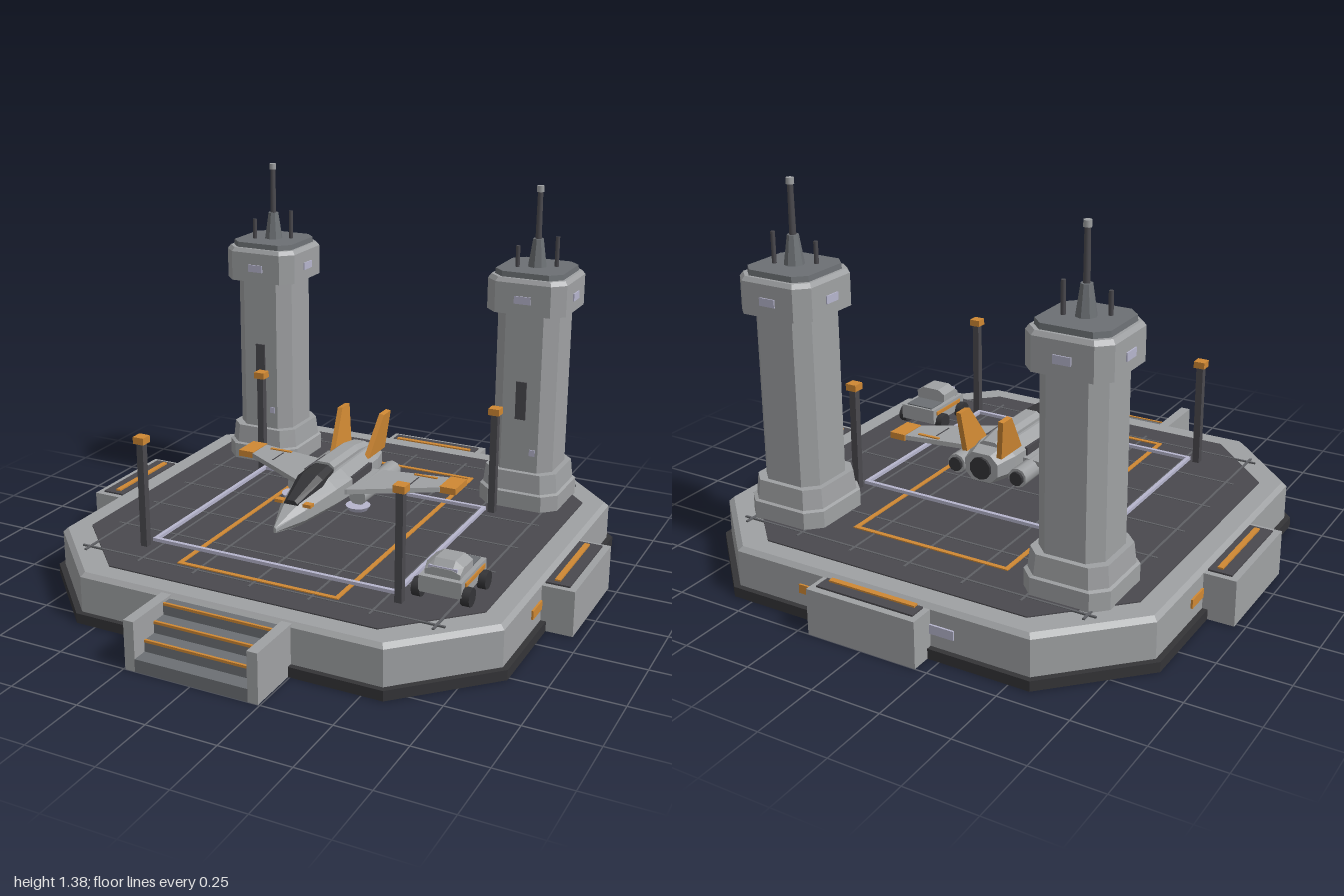
import * as THREE from 'three';

const mat = (name, color) => Object.assign(new THREE.MeshStandardMaterial({ color }), { name });

export function createModel() {
  const light = mat('light grey', 0x9fa1a3), mid = mat('mid grey', 0x6c7074);
  const dark = mat('deck grey', 0x4a494e), black = mat('near black', 0x343437);
  const orange = mat('orange', 0xcf8833), lilac = mat('pale lilac', 0xb6b5cd);
  const line = mat('line grey', 0x5f6165);
  const root = new THREE.Group();
  root.name = 'landingPad';

  const add = (parent, name, geo, m, x = 0, y = 0, z = 0) => {
    const mesh = new THREE.Mesh(geo, m);
    mesh.name = name;
    mesh.position.set(x, y, z);
    parent.add(mesh);
    return mesh;
  };
  const group = (name, x = 0, y = 0, z = 0) => {
    const g = new THREE.Group();
    g.name = name;
    g.position.set(x, y, z);
    root.add(g);
    return g;
  };
  // box given by its limits on each axis
  const box = (parent, name, m, x0, x1, y0, y1, z0, z1) =>
    add(parent, name, new THREE.BoxGeometry(x1 - x0, y1 - y0, z1 - z0), m, (x0 + x1) / 2, (y0 + y1) / 2, (z0 + z1) / 2);
  // closed faceted skin through rings of points
  const loft = (rings) => {
    const p = [], n = rings[0].length;
    const tri = (...v) => v.forEach((q) => p.push(...q));
    for (let r = 0; r < rings.length - 1; r++) for (let i = 0; i < n; i++) {
      const j = (i + 1) % n, a = rings[r], b = rings[r + 1];
      tri(a[i], a[j], b[j]);
      tri(a[i], b[j], b[i]);
    }
    const s = rings[0], e = rings[rings.length - 1];
    for (let i = 1; i < n - 1; i++) {
      tri(s[0], s[i + 1], s[i]);
      tri(e[0], e[i], e[i + 1]);
    }
    const g = new THREE.BufferGeometry();
    g.setAttribute('position', new THREE.Float32BufferAttribute(p, 3));
    g.computeVertexNormals();
    return g;
  };
  // rectangle with cut corners
  const oct = (a, b, ca, cb) => [[a, cb - b], [a, b - cb], [a - ca, b], [ca - a, b], [-a, b - cb], [-a, cb - b], [ca - a, -b], [a - ca, -b]];
  // upright stack of [y, half width, corner cut]
  const stack = (levels) => loft(levels.map(([y, h, c]) => oct(h, h, c, c).map(([u, v]) => [u, y, -v])));
  // hull along z of [z, half width, bottom, top]
  const hull = (secs) => loft(secs.map(([z, w, y0, y1]) =>
    oct(w, (y1 - y0) / 2, w * 0.45, (y1 - y0) * 0.28).map(([u, v]) => [u, (y0 + y1) / 2 + v, z])));
  // flat outline of [x, z] points, extruded upward
  const plan = (pts, depth) => new THREE.ExtrudeGeometry(
    new THREE.Shape(pts.map(([x, z]) => new THREE.Vector2(x, -z))), { depth, bevelEnabled: false }).rotateX(-Math.PI / 2);
  // rectangular outline made of four bars
  const frame = (parent, name, m, hx, z0, z1, w, y0, y1) => {
    for (const s of [-1, 1]) box(parent, name, m, s * hx - w / 2, s * hx + w / 2, y0, y1, z0, z1);
    for (const z of [z0, z1]) box(parent, name, m, -hx - w / 2, hx + w / 2, y0, y1, z - w / 2, z + w / 2);
  };

  // platform
  const base = group('platform', 0, 0, -0.06);
  add(base, 'footing', stack([[0, 0.87, 0.295], [0.036, 0.87, 0.295]]), black);
  add(base, 'platformBody', stack([[0.036, 0.85, 0.285], [0.165, 0.85, 0.285], [0.18, 0.835, 0.28]]), light);
  add(base, 'deck', stack([[0.178, 0.765, 0.26], [0.184, 0.765, 0.26]]), dark);
  for (let i = -3; i <= 3; i++) {
    box(base, 'deckSeam', line, i * 0.22 - 0.004, i * 0.22 + 0.004, 0.18, 0.1855, -0.69, 0.69);
    box(base, 'deckSeam', line, -0.69, 0.69, 0.18, 0.1855, i * 0.22 - 0.004, i * 0.22 + 0.004);
  }
  // service boxes and marker plates on three sides
  for (let k = 0; k < 3; k++) {
    const side = new THREE.Group();
    side.name = 'sideBay';
    side.rotation.y = k * Math.PI / 2;
    base.add(side);
    const out = k === 1 ? 0.94 : 0.965;
    box(side, 'bayBox', light, 0.84, out, 0, 0.165, -0.207, 0.207);
    box(side, 'bayTop', dark, 0.855, out - 0.025, 0.16, 0.171, -0.185, 0.185);
    box(side, 'bayLamp', orange, out - 0.085, out - 0.065, 0.165, 0.177, -0.165, 0.165);
    box(side, 'orangeMarker', orange, 0.849, 0.857, 0.083, 0.115, 0.215, 0.305);
    box(side, 'lilacMarker', lilac, 0.849, 0.857, 0.083, 0.115, -0.295, -0.205);
  }

  // front steps
  const steps = group('steps');
  for (let i = 0; i < 4; i++) {
    const y = 0.165 - i * 0.04, z = 0.83 + i * 0.0567;
    box(steps, 'step', mid, -0.207, 0.207, 0, y, 0.77, z);
    if (i < 3) box(steps, 'stepEdge', orange, -0.205, 0.205, y - 0.006, y + 0.003, z - 0.007, z + 0.002);
  }
  for (const s of [-1, 1]) add(steps, 'stepWall', new THREE.BoxGeometry(0.038, 0.175, 0.22), light, s * 0.225, 0.0875, 0.89);

  // deck markings, rails and lamp posts
  const marks = group('markings');
  frame(marks, 'orangeOutline', orange, 0.3, -0.598, 0.578, 0.016, 0.18, 0.188);
  frame(marks, 'guideRail', lilac, 0.466, -0.306, 0.478, 0.014, 0.195, 0.207);
  for (const x of [-0.49, 0.49]) for (const z of [-0.33, 0.505]) {
    box(marks, 'lampPost', dark, x - 0.013, x + 0.013, 0.18, 0.57, z - 0.013, z + 0.013);
    box(marks, 'lampHead', orange, x - 0.021, x + 0.021, 0.567, 0.592, z - 0.021, z + 0.021);
  }

  // two towers
  for (const x of [-0.55, 0.55]) {
    const t = group('tower', x, 0, -0.55);
    add(t, 'towerFoot', stack([[0.18, 0.155, 0.05], [0.245, 0.155, 0.05], [0.25, 0.145, 0.048], [0.322, 0.138, 0.046]]), light);
    add(t, 'towerShaft', stack([[0.31, 0.118, 0.046], [0.94, 0.118, 0.046]]), light);
    add(t, 'towerHead', stack([[0.93, 0.15, 0.045], [1.045, 0.15, 0.045], [1.06, 0.14, 0.042]]), light);
    add(t, 'towerRoof', stack([[1.05, 0.13, 0.04], [1.08, 0.128, 0.04]]), mid);
    add(t, 'mastFoot', new THREE.CylinderGeometry(0.02, 0.036, 0.105, 8).toNonIndexed(), mid, 0, 1.13, 0).geometry.computeVertexNormals();
    add(t, 'mast', new THREE.CylinderGeometry(0.01, 0.012, 0.2, 8), dark, 0, 1.27, 0);
    add(t, 'mastTip', new THREE.CylinderGeometry(0.014, 0.014, 0.022, 8), light, 0, 1.364, 0);
    add(t, 'shortAerial', new THREE.CylinderGeometry(0.008, 0.008, 0.085, 6), dark, -0.062, 1.115, 0.04);
    add(t, 'tallAerial', new THREE.CylinderGeometry(0.008, 0.008, 0.12, 6), dark, 0.065, 1.13, -0.025);
    box(t, 'slotWindow', dark, -0.02, 0.02, 0.525, 0.67, 0.115, 0.123);
    box(t, 'doorLamp', lilac, 0.04, 0.062, 0.388, 0.412, 0.115, 0.122);
    for (let k = 0; k < 4; k++) {
      const w = add(t, 'headWindow', new THREE.BoxGeometry(0.062, 0.028, 0.009), lilac,
        Math.sin(k * Math.PI / 2) * 0.15, 0.985, Math.cos(k * Math.PI / 2) * 0.15);
      w.rotation.y = k * Math.PI / 2;
    }
  }

  // parked jet
  const jet = group('jet');
  add(jet, 'fuselage', hull([[-0.265, 0.066, 0.295, 0.4], [-0.18, 0.09, 0.285, 0.415], [0.06, 0.097, 0.285, 0.415],
    [0.15, 0.085, 0.285, 0.405], [0.32, 0.05, 0.288, 0.372], [0.45, 0.005, 0.305, 0.325]]), light);
  add(jet, 'canopy', hull([[0.1, 0.045, 0.385, 0.436], [0.19, 0.05, 0.375, 0.43], [0.335, 0.026, 0.345, 0.382]]), black);
  add(jet, 'spine', hull([[-0.21, 0.04, 0.38, 0.425], [-0.12, 0.042, 0.39, 0.44], [0.09, 0.042, 0.39, 0.44]]), light);
  add(jet, 'exhaust', new THREE.CylinderGeometry(0.042, 0.042, 0.02, 10).rotateX(Math.PI / 2), black, 0, 0.347, -0.265);
  for (const s of [-1, 1]) {
    add(jet, 'wing', plan([[0.07, 0.11], [0.1, 0.1], [0.385, -0.068], [0.385, -0.175], [0.1, -0.13], [0.07, -0.13]].map(([x, z]) => [s * x, z]), 0.018), light, 0, 0.337, 0);
    box(jet, 'wingTip', orange, Math.min(s * 0.383, s * 0.445), Math.max(s * 0.383, s * 0.445), 0.334, 0.358, -0.18, -0.07);
    add(jet, 'wingFlapLine', new THREE.BoxGeometry(0.004, 0.004, 0.085), dark, s * 0.28, 0.355, -0.08);
    add(jet, 'wingPanel', new THREE.BoxGeometry(0.09, 0.006, 0.012), orange, s * 0.3, 0.356, -0.142);
    add(jet, 'nacelle', new THREE.CylinderGeometry(0.033, 0.036, 0.3, 10).rotateX(Math.PI / 2), light, s * 0.125, 0.322, -0.08);
    add(jet, 'nacelleNozzle', new THREE.CylinderGeometry(0.026, 0.026, 0.015, 10).rotateX(Math.PI / 2), black, s * 0.125, 0.322, -0.234);
    add(jet, 'liftPad', new THREE.CylinderGeometry(0.045, 0.035, 0.016, 16), lilac, s * 0.13, 0.285, 0.072);
    add(jet, 'sideIntake', new THREE.BoxGeometry(0.014, 0.04, 0.16), dark, s * 0.09, 0.365, -0.03);
    add(jet, 'noseVane', new THREE.BoxGeometry(0.03, 0.012, 0.025), orange, s * 0.055, 0.365, 0.31);
    // leaning tail fin
    const fin = new THREE.ExtrudeGeometry(new THREE.Shape(
      [[-0.12, 0], [-0.215, 0.145], [-0.275, 0.145], [-0.26, 0]].map(([z, y]) => new THREE.Vector2(z, y))),
    { depth: 0.02, bevelEnabled: false }).translate(0, 0, -0.01).rotateY(-Math.PI / 2).rotateZ(-s * 0.11);
    add(jet, 'tailFin', fin, orange, s * 0.07, 0.395, 0);
  }

  // service truck
  const truck = group('truck', 0.612, 0, 0.35);
  box(truck, 'truckBody', light, -0.075, 0.075, 0.215, 0.272, -0.105, 0.115);
  add(truck, 'truckCab', hull([[-0.01, 0.064, 0.26, 0.322], [0.07, 0.064, 0.26, 0.325], [0.095, 0.062, 0.26, 0.3]]), light);
  box(truck, 'truckBed', mid, -0.058, 0.058, 0.27, 0.276, -0.095, -0.015);
  box(truck, 'windscreen', lilac, -0.05, 0.05, 0.287, 0.305, 0.086, 0.094);
  for (const s of [-1, 1]) {
    add(truck, 'truckStripe', new THREE.BoxGeometry(0.008, 0.014, 0.17), orange, s * 0.076, 0.254, 0);
    for (const z of [-0.06, 0.084])
      add(truck, 'wheel', new THREE.CylinderGeometry(0.032, 0.032, 0.03, 12).rotateZ(Math.PI / 2), black, s * 0.086, 0.216, z);
  }
  return root;
}
